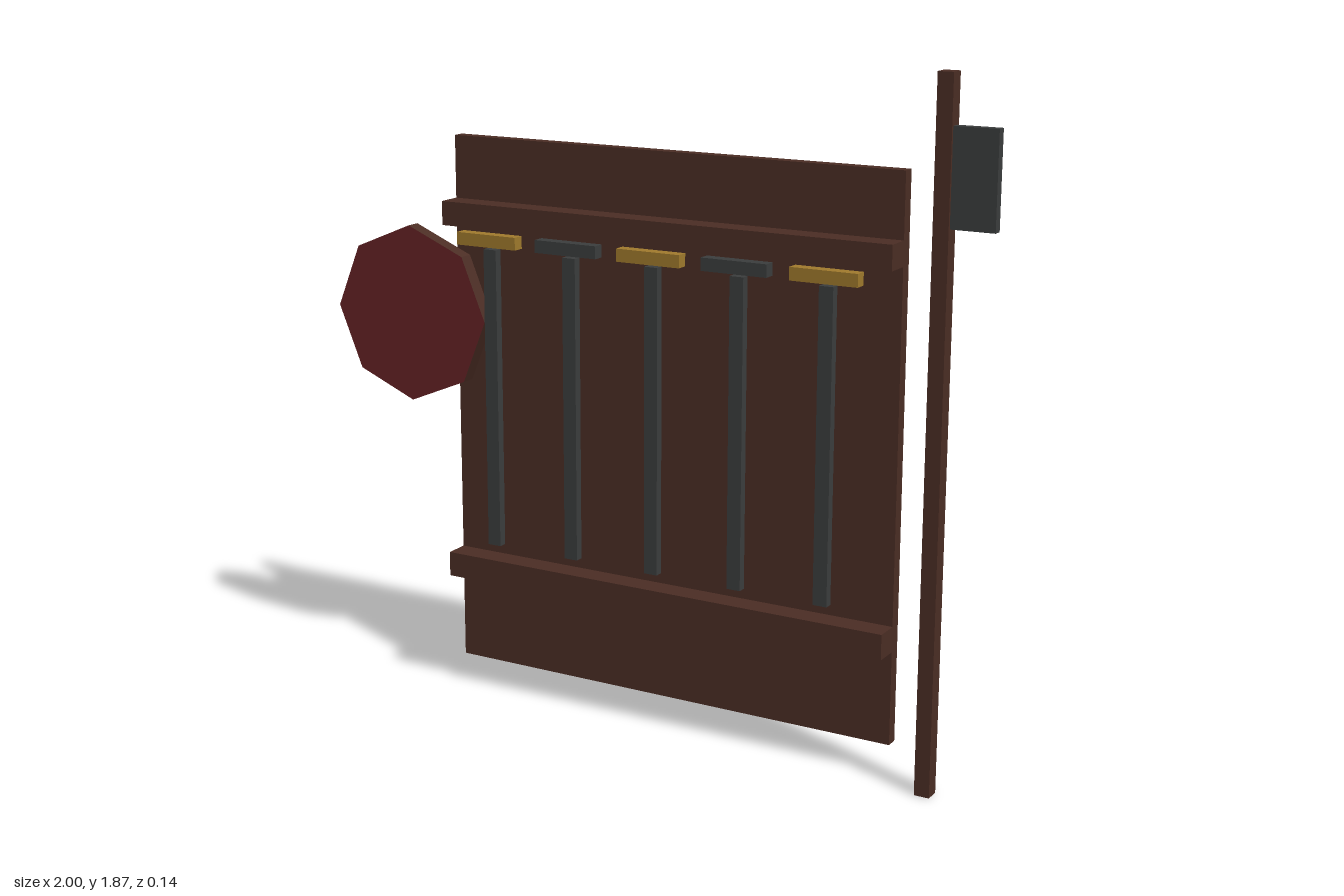
import * as THREE from 'three';

const flat = (name, color) => {
  const m = new THREE.MeshStandardMaterial({ color });
  m.name = name;
  return m;
};

export function createModel() {
  const wood = flat('dark wood', 0x4c2e25);
  const red = flat('red paint', 0x662326);
  const iron = flat('iron', 0x3c3e3e);
  const brass = flat('brass', 0xa27c2d);

  const group = new THREE.Group();
  group.name = 'weaponRack';

  // Box given by its extents along each axis
  const box = (name, mat, [x0, x1], [y0, y1], [z0, z1]) => {
    const mesh = new THREE.Mesh(new THREE.BoxGeometry(x1 - x0, y1 - y0, z1 - z0), mat);
    mesh.position.set((x0 + x1) / 2, (y0 + y1) / 2, (z0 + z1) / 2);
    mesh.name = name;
    group.add(mesh);
  };

  // Back board with two horizontal rails
  const boardX = [-0.618, 0.735];
  box('backBoard', wood, boardX, [0.09, 1.612], [-0.068, -0.034]);
  box('lowerRail', wood, boardX, [0.35, 0.42], [-0.034, 0.035]);
  box('upperRail', wood, boardX, [1.37, 1.437], [-0.034, 0.035]);

  // Row of swords: blades with alternating brass and iron guards
  for (let i = 0; i < 5; i++) {
    const x = -0.452 + i * 0.254;
    box('blade' + (i + 1), iron, [x - 0.02, x + 0.02], [0.472, 1.318], [0.026, 0.05]);
    box('guard' + (i + 1), i % 2 ? iron : brass, [x - 0.095, x + 0.095], [1.327, 1.362], [0.034, 0.068]);
  }

  // Octagonal shield: wooden rim and back, painted front
  const shield = new THREE.Mesh(new THREE.CylinderGeometry(0.252, 0.252, 0.042, 8), [wood, red, wood]);
  shield.geometry.rotateX(Math.PI / 2);
  shield.geometry = shield.geometry.toNonIndexed();
  shield.geometry.computeVertexNormals();
  shield.position.set(-0.748, 1.103, -0.005);
  shield.name = 'shield';
  group.add(shield);

  // Standing pole axe
  box('axePole', wood, [0.84, 0.882], [0, 1.867], [-0.004, 0.038]);
  box('axeBlade', iron, [0.882, 1.0], [1.487, 1.738], [0.005, 0.031]);

  return group;
}
